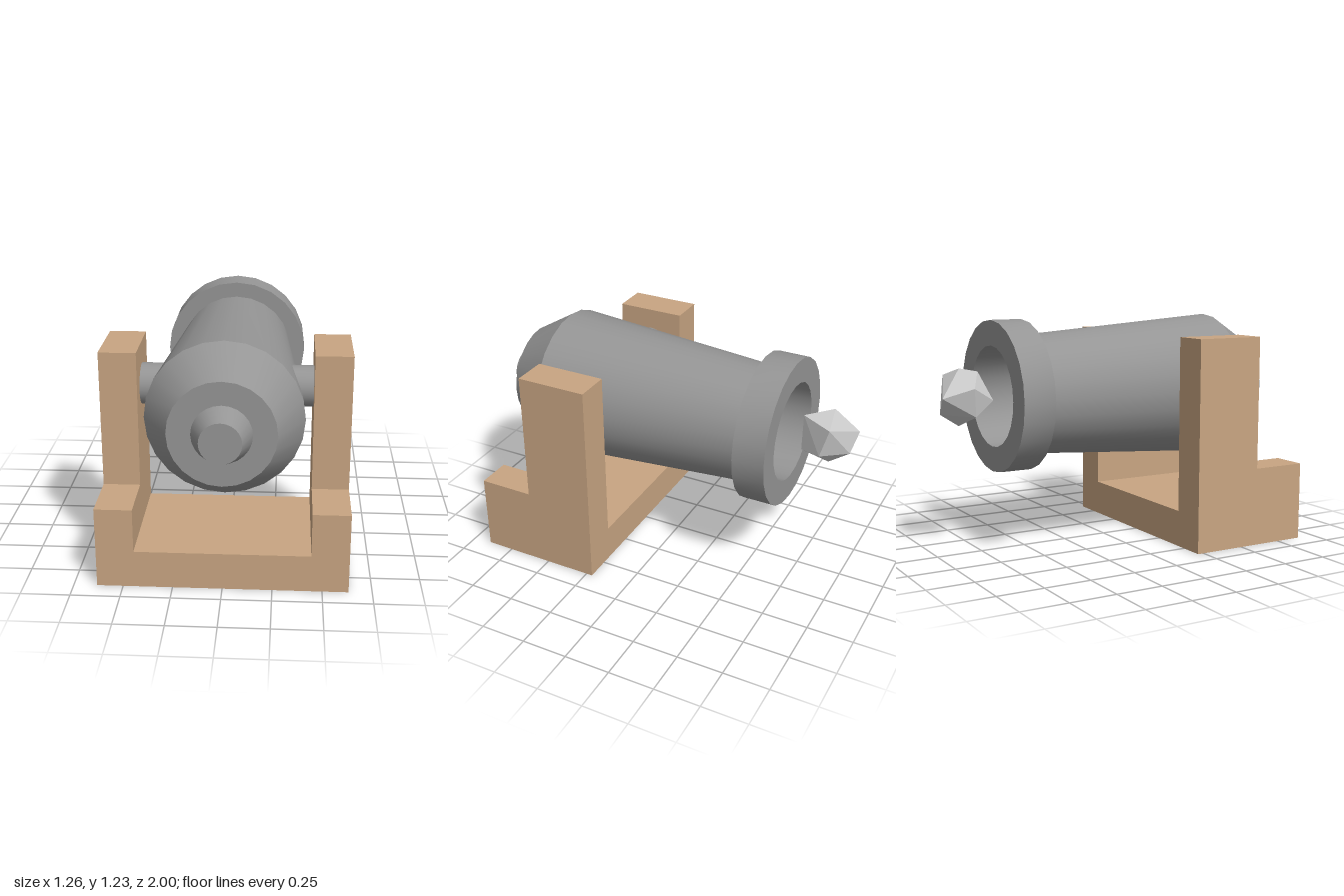
import * as THREE from 'three';
import { toCreasedNormals } from 'three/addons/utils/BufferGeometryUtils.js';
import { ConvexGeometry } from 'three/addons/geometries/ConvexGeometry.js';

const iron = new THREE.MeshStandardMaterial({ color: 0x959595 });
const wood = new THREE.MeshStandardMaterial({ color: 0xc8a582 });
const stone = new THREE.MeshStandardMaterial({ color: 0xcccccc, flatShading: true });

const AXIS_Y = 0.827;

function add(parent, name, geometry, material, x = 0, y = 0, z = 0) {
  const mesh = new THREE.Mesh(geometry, material);
  mesh.name = name;
  mesh.position.set(x, y, z);
  parent.add(mesh);
  return mesh;
}

export function createModel() {
  const model = new THREE.Group();
  model.name = 'cannon';

  // Barrel: [radius, z] from the bore floor, round the muzzle and back to the knob
  const profile = [
    [0, -0.05], [0.268, -0.05], [0.268, -0.677],
    [0.402, -0.677], [0.402, -0.502], [0.318, -0.502],
    [0.402, 0.667], [0.269, 0.887],
    [0.15, 0.887], [0.104, 1.0], [0, 1.0],
  ].map(([r, z]) => new THREE.Vector2(r, z));
  const barrel = new THREE.LatheGeometry(profile, 24).rotateX(Math.PI / 2);
  add(model, 'barrel', toCreasedNormals(barrel, 0.5), iron, 0, AXIS_Y, 0);

  // Trunnion pin resting between the two posts
  const pin = new THREE.CylinderGeometry(0.107, 0.107, 0.9, 24).rotateZ(Math.PI / 2);
  add(model, 'trunnion', pin, iron, 0, 0.914, 0.403);

  // Cradle: a floor between two stepped side posts
  const cradle = new THREE.Group();
  cradle.name = 'cradle';
  model.add(cradle);
  const inner = 0.442, width = 0.19, back = 0.215, step = 0.596, front = 0.896;
  add(cradle, 'cradleFloor', new THREE.BoxGeometry(inner * 2, 0.195, front - back),
    wood, 0, 0.0975, (front + back) / 2);

  // Side outline drawn in (-z, y), then turned so its depth runs along x
  const side = new THREE.Shape([
    [-front, 0], [-back, 0], [-back, 1.135], [-step, 1.135], [-step, 0.423], [-front, 0.423],
  ].map(([z, y]) => new THREE.Vector2(z, y)));
  const post = new THREE.ExtrudeGeometry(side, { depth: width, bevelEnabled: false })
    .rotateY(Math.PI / 2);
  add(cradle, 'leftPost', post, wood, inner);
  add(cradle, 'rightPost', post, wood, -inner - width);

  // Rough faceted shot just leaving the muzzle
  const corners = [
    [-0.053, 0.99, -0.88], [0.106, 0.944, -0.908], [0.032, 0.96, -0.742],
    [-0.18, 0.895, -0.847], [-0.1, 0.82, -0.713], [-0.127, 0.847, -1.0],
    [-0.037, 0.756, -0.982], [-0.02, 0.687, -0.875], [-0.15, 0.745, -0.83],
    [0.1, 0.78, -0.86], [0.035, 0.756, -0.74],
  ].map((p) => new THREE.Vector3(...p));
  add(model, 'shot', new ConvexGeometry(corners), stone);

  return model;
}
